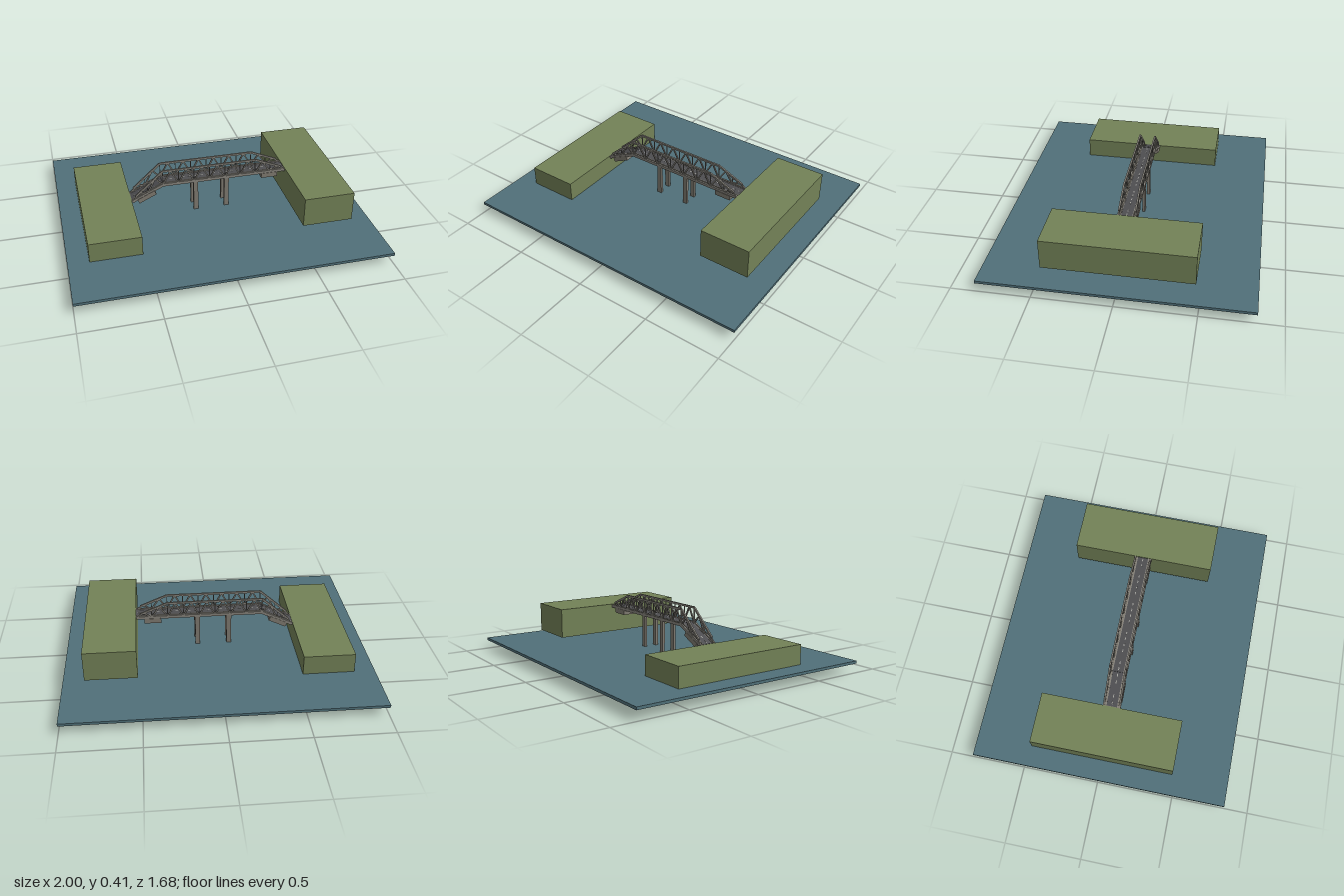
import * as THREE from 'three';

const mat = (name, color) => {
  const m = new THREE.MeshStandardMaterial({ color });
  m.name = name;
  return m;
};

export function createModel() {
  const water = mat('water', 0x507079);
  const grass = mat('grass', 0x738257);
  const steel = mat('steel', 0x85827a);
  const concrete = mat('concrete', 0x7f7a70);
  const asphalt = mat('asphalt', 0x4e4e51);
  const paint = mat('road paint', 0xa3a39d);
  const model = new THREE.Group();
  model.name = 'riverBridge';

  const group = (name) => {
    const g = new THREE.Group();
    g.name = name;
    model.add(g);
    return g;
  };
  const box = (parent, name, material, size, pos) => {
    const m = new THREE.Mesh(new THREE.BoxGeometry(...size), material);
    m.name = name;
    m.position.set(...pos);
    parent.add(m);
    return m;
  };
  // Straight bar in an x-y plane from a to b
  const bar = (parent, name, material, a, b, z, height, depth) => {
    const dx = b[0] - a[0], dy = b[1] - a[1];
    const m = box(parent, name, material, [Math.hypot(dx, dy), height, depth],
      [(a[0] + b[0]) / 2, (a[1] + b[1]) / 2, z]);
    m.rotation.z = Math.atan2(dy, dx);
    return m;
  };

  // Water sheet and the two banks
  box(model, 'water', water, [2, 0.018, 1.68], [0, 0.07, 0]);
  box(model, 'lowBank', grass, [0.335, 0.14, 0.945], [-0.697, 0.14, 0]);
  box(model, 'highBank', grass, [0.335, 0.2, 0.945], [0.692, 0.218, 0]);

  // Centre line of the deck and of the truss top chord
  const END = 0.527, KNEE = 0.317;
  const deckY = (x) => (x < -KNEE ? 0.304 + (x + KNEE) * 0.48 : 0.304);
  const topY = (x) => {
    if (x < -KNEE) return 0.405 + (x + KNEE) * 0.9;
    if (x > KNEE) return 0.405 - (x - KNEE) * 0.42;
    return 0.405;
  };
  const low = (x) => [x, deckY(x)];
  const high = (x) => [x, topY(x)];

  // Deck: structural slab, asphalt and kerbs, in a ramp and a level run
  const deck = group('deck');
  for (const [a, b] of [[-END, -KNEE], [-KNEE, END]]) {
    const lift = (x, d) => [x, deckY(x) + d];
    bar(deck, 'slab', concrete, lift(a, -0.002), lift(b, -0.002), 0, 0.012, 0.11);
    bar(deck, 'roadway', asphalt, lift(a, 0.006), lift(b, 0.006), 0, 0.005, 0.07);
    for (const s of [-1, 1]) {
      bar(deck, 'kerb', steel, lift(a, 0.006), lift(b, 0.006), s * 0.038, 0.008, 0.006);
      bar(deck, 'girder', steel, low(a), low(b), s * 0.054, 0.02, 0.011);
    }
  }

  // Centre line dashes, four in each of five spans
  const dashes = group('roadDashes');
  const span = (2 * END) / 5;
  for (let i = 0; i < 5; i++) {
    for (const f of [0.1, 0.3, 0.7, 0.9]) {
      const x = -END + span * (i + f);
      bar(dashes, 'dash', paint, [x - 0.009, deckY(x - 0.009) + 0.0085],
        [x + 0.009, deckY(x + 0.009) + 0.0085], 0, 0.002, 0.006);
    }
  }

  // Two side trusses
  for (const s of [-1, 1]) {
    const truss = group(s > 0 ? 'frontTruss' : 'backTruss');
    const z = s * 0.052;
    const chord = [-0.5, -KNEE, KNEE, 0.495];
    for (let i = 0; i < 3; i++) {
      bar(truss, 'topChord', steel, high(chord[i]), high(chord[i + 1]), z, 0.013, 0.011);
    }
    const bay = span / 2;
    for (let i = 0; i < 10; i++) {
      const a = -END + bay * i, b = a + bay, mid = (a + b) / 2;
      if (i > 0) bar(truss, 'hanger', steel, low(a), high(a), z, 0.005, 0.006);
      bar(truss, 'diagonal', steel, low(a), high(mid), z, 0.009, 0.008);
      bar(truss, 'diagonal', steel, high(mid), low(b), z, 0.009, 0.008);
      // Gusset plate at the foot of each panel
      if (i > 0) box(truss, 'gusset', steel, [0.022, 0.022, 0.013], [a, deckY(a) + 0.004, z]);
    }
  }

  // Abutment blocks hung beneath both ends
  const blocks = group('abutmentBlocks');
  bar(blocks, 'rampBlock', concrete, [-0.485, deckY(-0.485) - 0.022],
    [-0.37, deckY(-0.37) - 0.022], 0, 0.032, 0.124);
  box(blocks, 'levelBlock', concrete, [0.112, 0.034, 0.124], [0.416, 0.28, 0]);

  // Pier legs, in two pairs, with a cross beam under the deck
  const piers = group('piers');
  for (const x of [-0.094, 0.118]) {
    for (const s of [-1, 1]) {
      box(piers, 'pierLeg', concrete, [0.031, 0.298, 0.019], [x, 0.149, s * 0.045]);
    }
  }
  return model;
}
